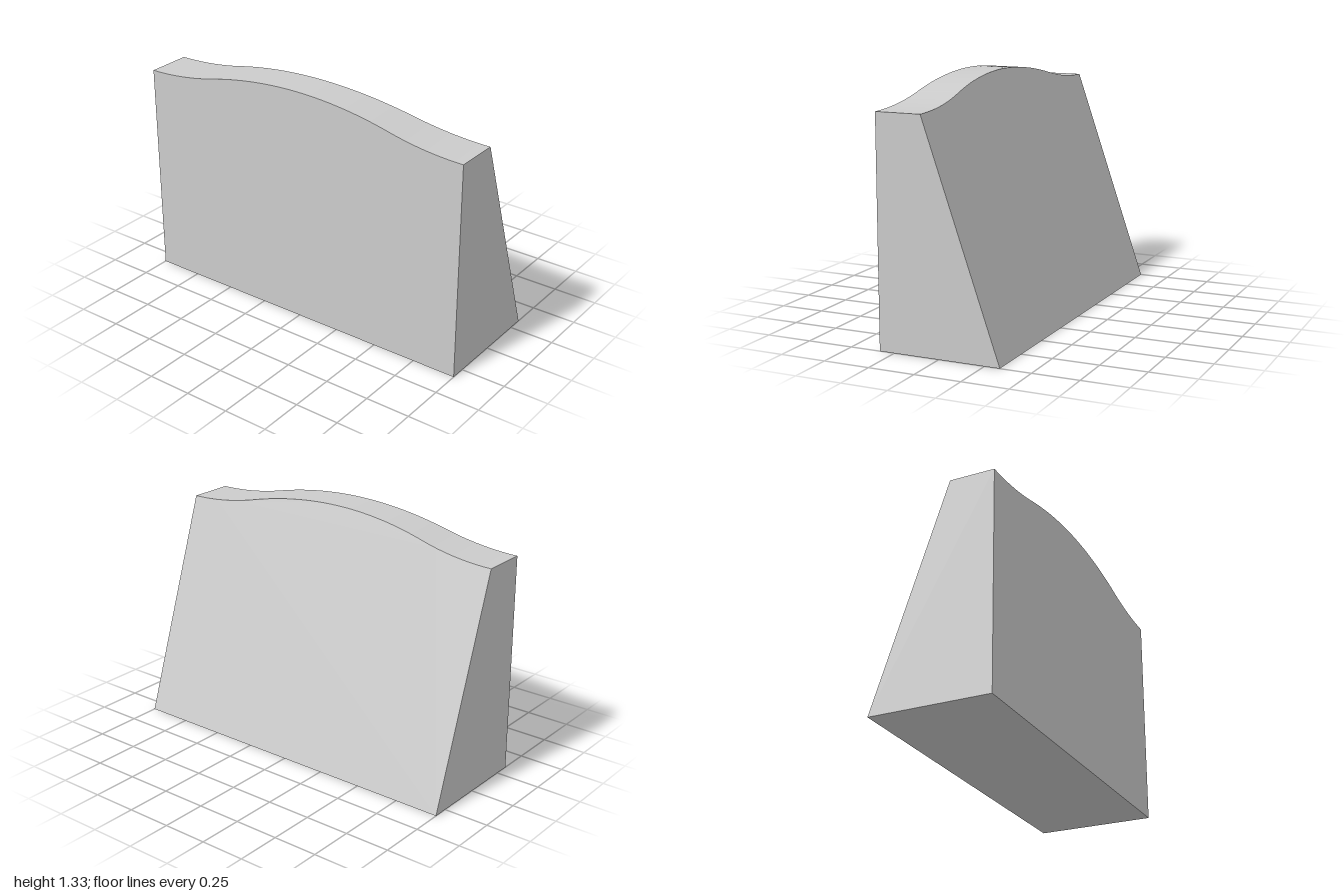
import * as THREE from 'three';
import { toCreasedNormals } from 'three/addons/utils/BufferGeometryUtils.js';

const PEAK = 1.333, SHOULDER = 1.21, HALF_DEPTH = 0.333;
const BEND = 0.57; // x where the crown turns from convex to concave

// Height of the crowned top: a convex arc flowing into concave shoulders
function topHeight(x) {
  const a = Math.abs(x), rise = PEAK - SHOULDER;
  return a < BEND
    ? PEAK - rise * a * a / BEND
    : SHOULDER + rise * (1 - a) ** 2 / (1 - BEND);
}

export function createModel() {
  const group = new THREE.Group();
  group.name = 'wedgeBlock';

  // Front outline with the curved top
  const outline = new THREE.Shape();
  outline.moveTo(-1, 0);
  outline.lineTo(1, 0);
  const steps = 48;
  for (let i = 0; i <= steps; i++) {
    const x = 1 - 2 * i / steps;
    outline.lineTo(x, topHeight(x));
  }
  outline.closePath();

  const solid = new THREE.ExtrudeGeometry(outline, { depth: 1, bevelEnabled: false });

  // Upright front face, back face leaning forward with height
  const pos = solid.attributes.position;
  for (let i = 0; i < pos.count; i++) {
    const back = -HALF_DEPTH + 0.345 * pos.getY(i);
    pos.setZ(i, pos.getZ(i) > 0.5 ? HALF_DEPTH : back);
  }

  // Smooth crown, sharp edges
  const body = new THREE.Mesh(
    toCreasedNormals(solid, Math.PI / 6),
    new THREE.MeshStandardMaterial({ color: 0xcccccc })
  );
  body.name = 'body';
  group.add(body);
  return group;
}
